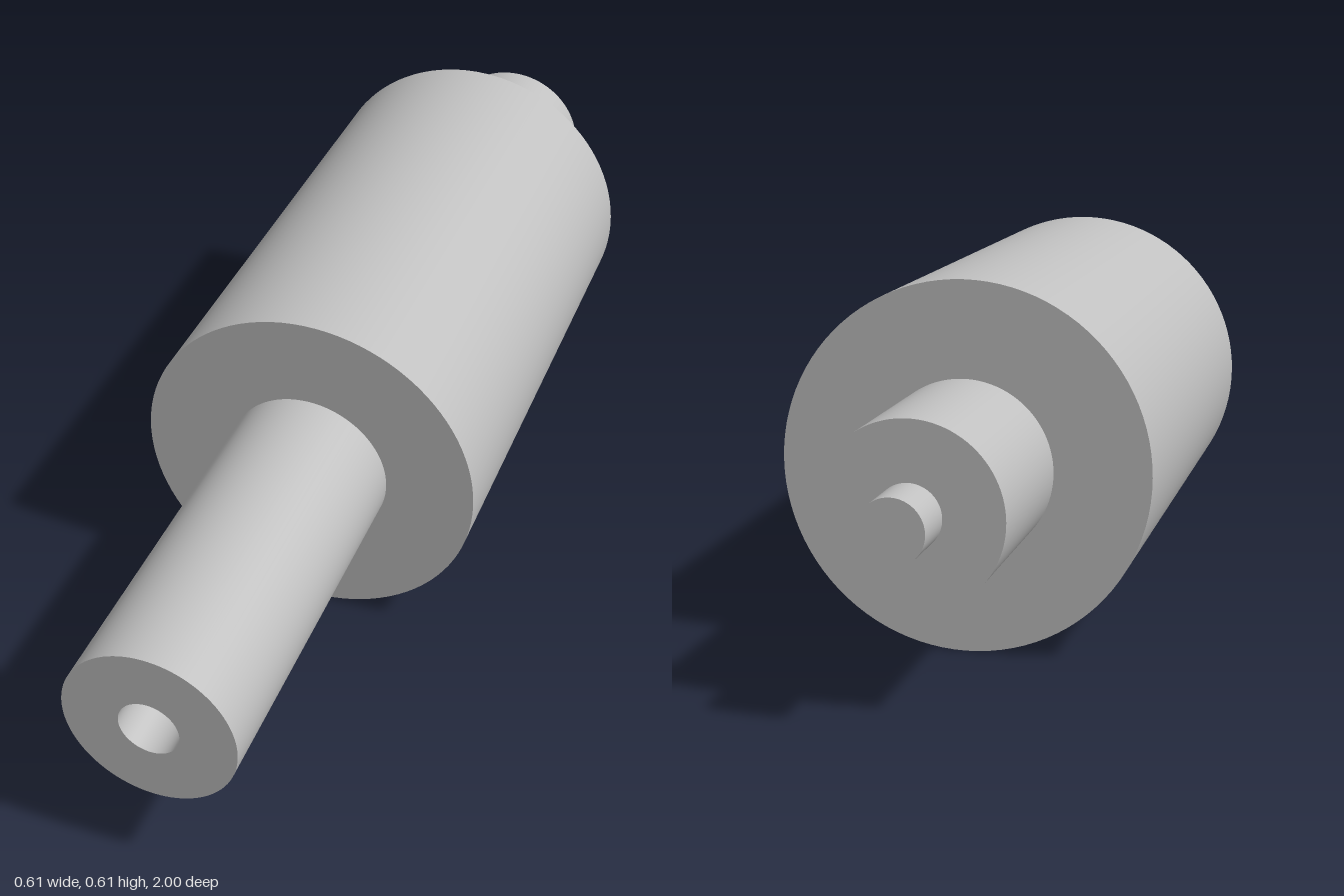
import * as THREE from 'three';
import { mergeGeometries } from 'three/addons/utils/BufferGeometryUtils.js';

const BODY_R = 0.305, SHAFT_R = 0.146, PIN_R = 0.051;
const BACK = -1, SHOULDER = -0.913, BODY_BACK = -0.605, BODY_FRONT = 0.345, FRONT = 1;
const BORE_DEPTH = 0.1;

// Turned part from [radius, z] points; each profile segment is separate so edges stay sharp
function turned(name, profile, material) {
  const bands = [];
  for (let i = 0; i < profile.length - 1; i++) {
    const pair = [profile[i], profile[i + 1]].map(([r, z]) => new THREE.Vector2(r, z));
    bands.push(new THREE.LatheGeometry(pair, 96));
  }
  const geometry = mergeGeometries(bands);
  geometry.rotateX(Math.PI / 2); // lathe axis onto z
  const mesh = new THREE.Mesh(geometry, material);
  mesh.name = name;
  mesh.position.y = BODY_R;
  return mesh;
}

export function createModel() {
  const group = new THREE.Group();
  group.name = 'rollerShaft';
  const steel = new THREE.MeshStandardMaterial({ color: 0xc0c0c0 });
  steel.name = 'steel grey';

  group.add(
    // Small locating pin at the back
    turned('backPin', [[0, BACK], [PIN_R, BACK], [PIN_R, SHOULDER]], steel),
    // Short journal
    turned('backShaft', [[PIN_R, SHOULDER], [SHAFT_R, SHOULDER], [SHAFT_R, BODY_BACK]], steel),
    // Wide roller
    turned('rollerBody', [
      [SHAFT_R, BODY_BACK], [BODY_R, BODY_BACK], [BODY_R, BODY_FRONT], [SHAFT_R, BODY_FRONT],
    ], steel),
    // Long journal with annular end face
    turned('frontShaft', [[SHAFT_R, BODY_FRONT], [SHAFT_R, FRONT], [PIN_R, FRONT]], steel),
    // Blind socket in the front end
    turned('frontBore', [[PIN_R, FRONT], [PIN_R, FRONT - BORE_DEPTH], [0, FRONT - BORE_DEPTH]], steel),
  );
  return group;
}
